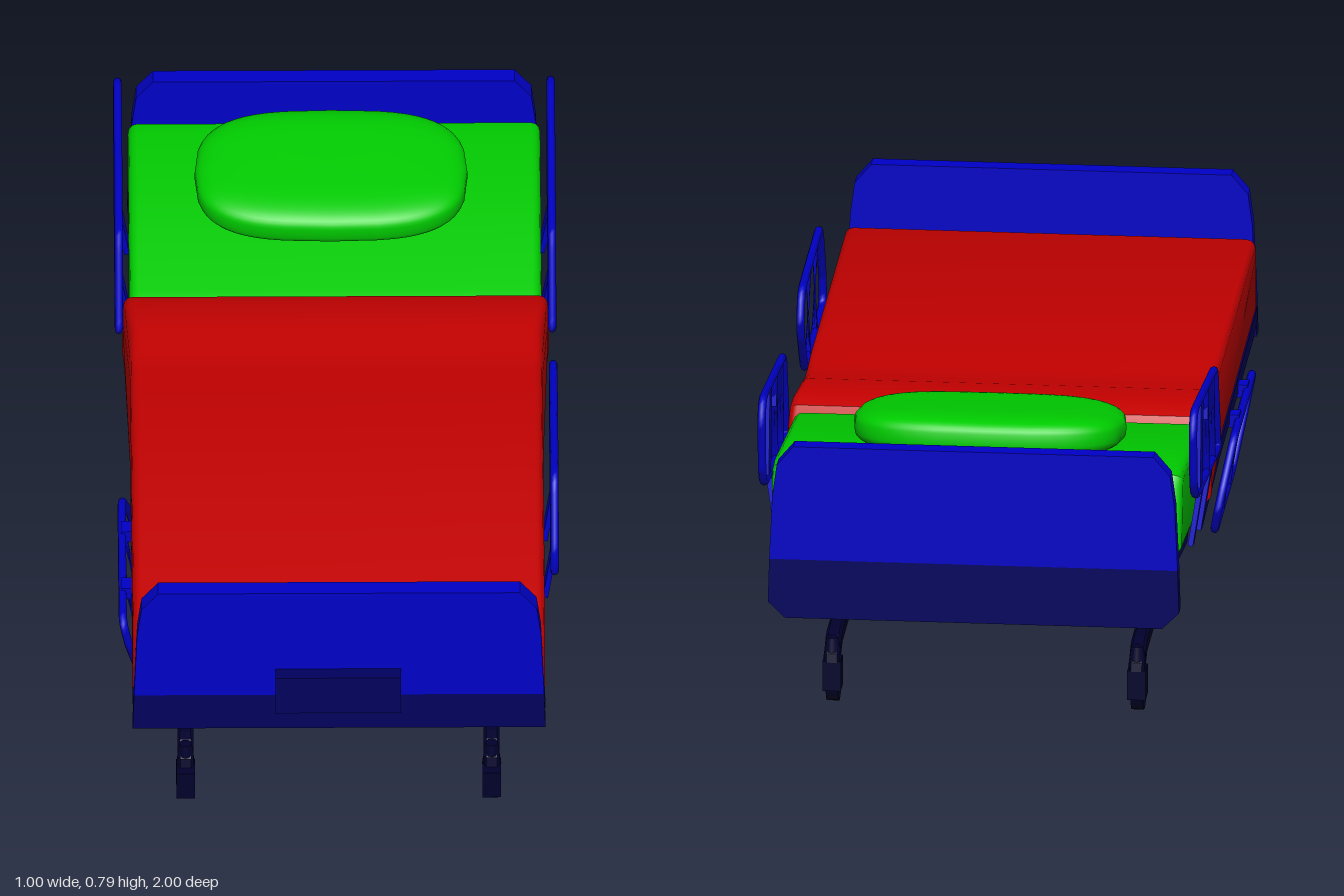
import * as THREE from 'three';
import { toCreasedNormals } from 'three/addons/utils/BufferGeometryUtils.js';

const mat = (name, color) => {
  const m = new THREE.MeshStandardMaterial({ color });
  m.name = name;
  return m;
};

export function createModel() {
  const bed = new THREE.Group();
  bed.name = 'hospitalBed';

  const blue = mat('panelBlue', 0x0000c8);
  const navy = mat('frameNavy', 0x00005e);
  const dark = mat('baseDarkNavy', 0x00002c);
  const red = mat('blanketRed', 0xc40000);
  const green = mat('sheetGreen', 0x00cc00);

  const add = (name, geo, material, parent = bed) => {
    const m = new THREE.Mesh(geo, material);
    m.name = name;
    parent.add(m);
    return m;
  };
  const box = (name, material, w, h, d, x, y, z, parent = bed) => {
    const m = add(name, new THREE.BoxGeometry(w, h, d), material, parent);
    m.position.set(x, y, z);
    return m;
  };
  const shapeOf = (pts) => new THREE.Shape(pts.map(([a, b]) => new THREE.Vector2(a, b)));

  // Side profile of [z, y] points, extruded across the width
  const across = (pts, width, bevel = 0, segments = 1) => {
    const geo = new THREE.ExtrudeGeometry(shapeOf(pts), {
      depth: width - 2 * bevel, bevelEnabled: bevel > 0, bevelSize: bevel,
      bevelThickness: bevel, bevelOffset: -bevel, bevelSegments: segments,
    });
    geo.translate(0, 0, -(width - 2 * bevel) / 2);
    geo.rotateY(-Math.PI / 2);
    return geo;
  };
  const tube = (pts, r, closed = false, steps = 64) => new THREE.TubeGeometry(
    new THREE.CatmullRomCurve3(pts.map((p) => new THREE.Vector3(...p)), closed, 'catmullrom', 0.15),
    steps, r, 8, closed);

  // Mattress: red blanket, flaring towards its folded end
  const blanket = across([
    [0.925, 0.40], [0.925, 0.55], [0.915, 0.578], [0.895, 0.587], [0.02, 0.59], [-0.05, 0.583],
    [-0.12, 0.583], [-0.19, 0.597], [-0.29, 0.595], [-0.33, 0.58], [-0.365, 0.52],
    [-0.375, 0.39], [-0.3, 0.385], [-0.2, 0.386], [0.1, 0.39],
  ], 0.935, 0.02, 3);
  const bp = blanket.attributes.position;
  for (let i = 0; i < bp.count; i++) {
    const flare = THREE.MathUtils.clamp((-0.2 - bp.getZ(i)) / 0.14, 0, 1);
    bp.setX(i, bp.getX(i) * (1 + 0.035 * flare));
  }
  add('blanket', toCreasedNormals(blanket, 0.6), red);

  // Raised head section
  add('headMattress', toCreasedNormals(across([
    [-0.33, 0.39], [-0.33, 0.56], [-0.36, 0.572], [-0.86, 0.64], [-0.9, 0.635], [-0.915, 0.61],
    [-0.945, 0.465], [-0.93, 0.455],
  ], 0.935, 0.02, 3), 0.6), green);

  // Pillow: sphere squared off towards a rounded slab
  const pillowGeo = new THREE.SphereGeometry(1, 48, 24);
  const pp = pillowGeo.attributes.position;
  const square = (v, e) => Math.sign(v) * Math.pow(Math.abs(v), e);
  for (let i = 0; i < pp.count; i++) {
    const x = square(pp.getX(i), 0.45);
    const y = square(pp.getY(i), 0.65);
    const z = square(pp.getZ(i), 0.45);
    pp.setXYZ(i, x * 0.31 * (1 - 0.12 * z * z), y * 0.05, z * 0.19 * (1 - 0.1 * x * x));
  }
  pillowGeo.computeVertexNormals();
  const pillow = add('pillow', pillowGeo, green);
  pillow.position.set(-0.008, 0.664, -0.668);
  pillow.rotation.x = 0.13;

  // Deck under the mattress
  add('footDeck', across([
    [0.94, 0.41], [0.94, 0.38], [0.85, 0.365], [0.0, 0.365], [-0.4, 0.345], [-0.4, 0.395], [0.1, 0.395],
  ], 0.935), navy);
  add('headDeck', across([
    [-0.36, 0.40], [-0.38, 0.345], [-0.44, 0.315], [-0.88, 0.38], [-0.95, 0.425], [-0.95, 0.465],
  ], 0.87), navy);
  add('underTray', across([[0.87, 0.37], [0.83, 0.265], [0.12, 0.265], [-0.02, 0.37]], 0.66), navy);

  // Foot and head boards: bright upper panel, dark lower panel
  const board = (name, z, top, split, lower) => {
    const g = new THREE.Group();
    g.name = name;
    const upper = [[0.465, split], [0.458, top - 0.12], [0.448, top - 0.045], [0.41, top]];
    for (const [part, half, material] of [['UpperPanel', upper, blue], ['LowerPanel', lower, navy]]) {
      const outline = [...half, ...half.map(([x, y]) => [-x, y]).reverse()];
      const geo = new THREE.ExtrudeGeometry(shapeOf(outline), { depth: 0.042, bevelEnabled: false });
      add(name + part, geo, material, g).position.z = z - 0.021;
    }
    bed.add(g);
  };
  board('footBoard', 0.944, 0.73, 0.44, [[0.468, 0.345], [0.465, 0.44]]);
  board('headBoard', -0.979, 0.71, 0.44, [[0.43, 0.30], [0.468, 0.338], [0.465, 0.44]]);
  box('controlPanel', navy, 0.285, 0.1, 0.036, -0.002, 0.464, 0.982);
  for (const s of [-1, 1]) box('headBoardBracket', navy, 0.05, 0.04, 0.05, s * 0.38, 0.33, -0.94);

  // Side rail from [z, y] points, in its own plane
  const rail = (name, outline, bars) => {
    const g = new THREE.Group();
    g.name = name;
    add(name + 'Frame', tube(outline.map(([z, y]) => [0, y, z]), 0.0095, true, 120), blue, g);
    for (const [z0, y0, z1, y1] of bars) {
      add(name + 'Bar', tube([[0, y0, z0], [0, y1, z1]], 0.008, false, 1), blue, g);
    }
    bed.add(g);
    return g;
  };
  // Leg leaning in under the deck on side s
  const railLeg = (g, s, z, y, pitch) => {
    box('railLeg', blue, 0.012, 0.14, 0.04, -s * 0.01, y - 0.065, z, g).rotation.set(pitch, 0, -s * 0.15);
  };
  const footOutline = [[0.58, 0.50], [0.603, 0.52], [0.597, 0.575], [0.535, 0.69], [0.5, 0.713],
    [0.11, 0.713], [0.075, 0.695], [0.055, 0.65], [0.07, 0.605], [0.14, 0.515], [0.18, 0.50]];
  const footBars = [[0.41, 0.5, 0.41, 0.71], [0.245, 0.5, 0.245, 0.71]];
  const headOutline = [[-0.32, 0.50], [-0.312, 0.53], [-0.37, 0.69], [-0.395, 0.715], [-0.85, 0.778],
    [-0.89, 0.765], [-0.903, 0.73], [-0.89, 0.62], [-0.87, 0.585], [-0.81, 0.562]];
  const headBars = [[-0.43, 0.515, -0.455, 0.72], [-0.575, 0.535, -0.6, 0.74]];

  const raised = rail('footRailLeft', footOutline, footBars);
  raised.position.x = 0.491;
  for (const z of [0.48, 0.27]) railLeg(raised, 1, z, 0.49, 0);

  // Right foot rail is folded down and swung inwards
  const lowered = rail('footRailRight', footOutline.map(([z, y]) => [z, 0.5 - y]),
    footBars.map(([a, b, c, d]) => [a, 0.5 - b, c, 0.5 - d]));
  lowered.position.set(-0.488, 0.372, 0);
  lowered.rotation.z = 0.19;
  for (const z of [0.48, 0.27]) box('footRailRightHinge', blue, 0.05, 0.03, 0.04, -0.465, 0.372, z);

  // Head rails, each with a wide bar and a control plate
  for (const s of [-1, 1]) {
    const g = rail(s > 0 ? 'headRailLeft' : 'headRailRight', headOutline, headBars);
    g.position.x = s * 0.491;
    railLeg(g, s, -0.52, 0.515, 0.13);
    railLeg(g, s, -0.72, 0.545, 0.13);
    box('railWideBar', blue, 0.012, 0.205, 0.055, 0, 0.665, -0.747, g).rotation.x = 0.13;
    box('railControlPlate', blue, 0.012, 0.078, 0.15, 0, 0.697, -0.522, g).rotation.x = 0.13;
  }

  // Lifting frame below the deck
  for (const s of [-1, 1]) {
    box('liftBeam', navy, 0.03, 0.035, 0.98, s * 0.325, 0.187, 0.07);
    add('liftArm', across([
      [-0.4, 0.17], [-0.43, 0.175], [-0.5, 0.235], [-0.505, 0.27], [-0.49, 0.33], [-0.45, 0.33],
      [-0.465, 0.265], [-0.46, 0.25], [-0.4, 0.205],
    ], 0.03), navy).position.x = s * 0.325;
    box('liftPost', navy, 0.025, 0.13, 0.03, s * 0.322, 0.235, 0.49);
    box('innerPost', navy, 0.016, 0.08, 0.03, s * 0.26, 0.23, 0.5);
    add('liftLink', tube([[s * 0.31, 0.25, 0.5], [s * 0.31, 0.25, 0.12], [s * 0.31, 0.195, 0.02]], 0.012, false, 24), navy);
    for (const z of [0.45, -0.38]) box('baseSpacer', navy, 0.025, 0.05, 0.04, s * 0.345, 0.18, z);
  }
  for (const z of [0.52, -0.38]) box('crossBeam', navy, 0.7, 0.03, 0.04, 0, 0.186, z);
  box('upperCrossBar', navy, 0.66, 0.015, 0.03, 0, 0.255, 0.48);
  box('headCrossBar', navy, 0.66, 0.03, 0.035, 0, 0.31, -0.47);

  // Base rails with down-turned ends and casters
  for (const s of [-1, 1]) {
    add('baseRail', across([
      [0.805, 0.105], [0.8, 0.13], [0.765, 0.158], [0.74, 0.162], [-0.66, 0.162], [-0.69, 0.155],
      [-0.735, 0.125], [-0.738, 0.105], [-0.7, 0.105], [-0.66, 0.125], [0.735, 0.125], [0.765, 0.105],
    ], 0.036, 0.006), dark).position.x = s * 0.347;
    for (const z of [0.762, -0.685]) {
      const caster = new THREE.Group();
      caster.name = 'caster';
      caster.position.set(s * 0.347, 0.05, z);
      const wheel = add('wheel', new THREE.CylinderGeometry(0.05, 0.05, 0.028, 20), dark, caster);
      wheel.rotation.z = Math.PI / 2;
      box('casterHousing', dark, 0.042, 0.07, 0.055, 0, 0.022, z > 0 ? 0.037 : -0.025, caster);
      const neck = add('casterNeck', new THREE.CylinderGeometry(0.014, 0.022, 0.06, 12), dark, caster);
      neck.position.set(0, 0.08, z > 0 ? 0.02 : -0.03);
      bed.add(caster);
    }
  }
  return bed;
}
